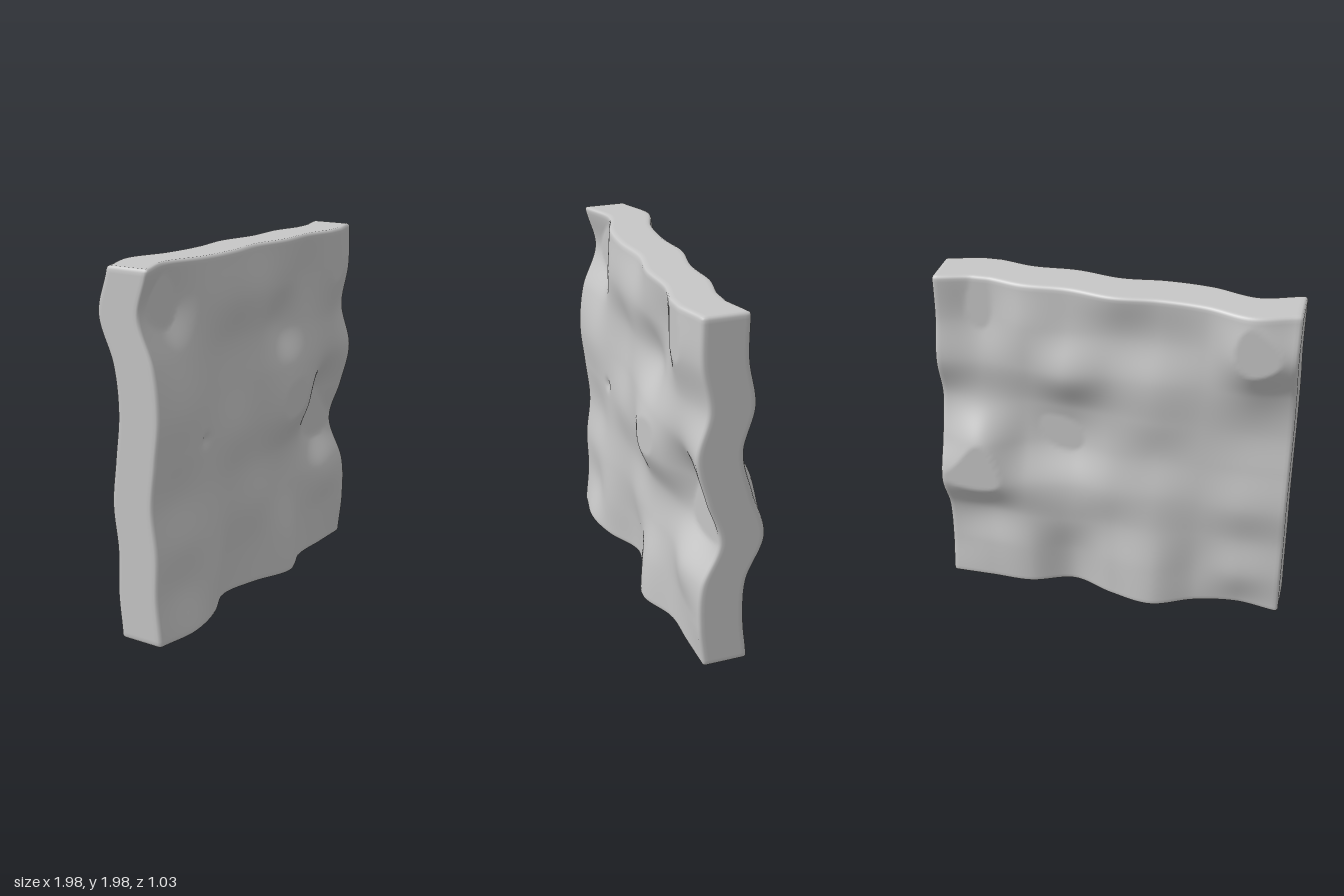
import * as THREE from 'three';
import { mergeVertices } from 'three/addons/utils/BufferGeometryUtils.js';

const WIDTH = 1.99, HEIGHT = 1.98, DEPTH = 0.255, ROUND = 0.018, LIMIT = 0.08;

// Wave heights in hundredths, top row first, left to right
const WAVES = [
  [0, -7, 0, 2, 0, 4.5, 4, 8.5, 3],
  [-6, -11, 1.5, 4, 4, 3, 1, 9, 3],
  [2.5, -1, 1, -1.5, 0, -4, 2, 4, -1],
  [5, 4, 2, 0, 3, 6, 7, 4, 5],
  [2.5, 2, 2, 3, 3, 9, 5, -8, -0.5],
  [0, -1, 1.5, -0.5, -1, 0, -4, -10, -8],
  [2.5, 3, 3.5, -1, 1, 1, -1, 3, 1.5],
  [2, 2, 4.5, -4, -1, 6, -0.5, 1, 2.5],
  [4, 8, 4, -6, -1, 8, 0, 0, 0],
];

// Smooth curve through evenly spaced values, t from 0 to 1
function curveAt(values, t) {
  const last = values.length - 1;
  const s = THREE.MathUtils.clamp(t, 0, 1) * last;
  const i = Math.min(Math.floor(s), last - 1), f = s - i;
  const b = values[i], c = values[i + 1];
  const a = i > 0 ? values[i - 1] : b;
  const d = i + 2 <= last ? values[i + 2] : c;
  return b + 0.5 * f * (c - a + f * (2 * a - 5 * b + 4 * c - d + f * (3 * (b - c) + d - a)));
}

// Shift of the slab at a point, cut off flat at the highest and lowest spots
function waveAt(x, y) {
  const u = x / WIDTH + 0.5, v = 0.5 - y / HEIGHT;
  const wave = curveAt(WAVES.map((row) => curveAt(row, u)), v) / 100;
  return THREE.MathUtils.clamp(wave, -LIMIT, LIMIT);
}

// Small pit in the front face
function pitAt(x, y) {
  return 0.018 * Math.exp(-((x + 0.53) ** 2 + (y - 0.02) ** 2) / 0.001);
}

export function createModel() {
  const group = new THREE.Group();
  const stone = new THREE.MeshStandardMaterial({ color: 0xc6c6c6 });
  stone.name = 'stone grey';

  // Wavy slab: a fine box with softened edges, bent front and back alike
  const box = new THREE.BoxGeometry(WIDTH, HEIGHT, DEPTH, 110, 110, 14);
  box.deleteAttribute('normal');
  box.deleteAttribute('uv');
  const geometry = mergeVertices(box);
  const pos = geometry.attributes.position;
  const p = new THREE.Vector3(), core = new THREE.Vector3();
  const inner = new THREE.Vector3(WIDTH, HEIGHT, DEPTH).multiplyScalar(0.5).subScalar(ROUND);
  const innerMin = inner.clone().negate();
  for (let i = 0; i < pos.count; i++) {
    p.fromBufferAttribute(pos, i);
    core.copy(p).clamp(innerMin, inner);
    p.sub(core).setLength(ROUND).add(core);
    const pit = p.z > 0 ? pitAt(p.x, p.y) : 0;
    pos.setXYZ(i, p.x, p.y, p.z + waveAt(p.x, p.y) - pit);
  }
  geometry.computeVertexNormals();

  const slab = new THREE.Mesh(geometry, stone);
  slab.name = 'wavySlab';
  slab.position.set(0, HEIGHT / 2, 0.012);
  slab.rotation.y = THREE.MathUtils.degToRad(20);
  group.add(slab);
  return group;
}
